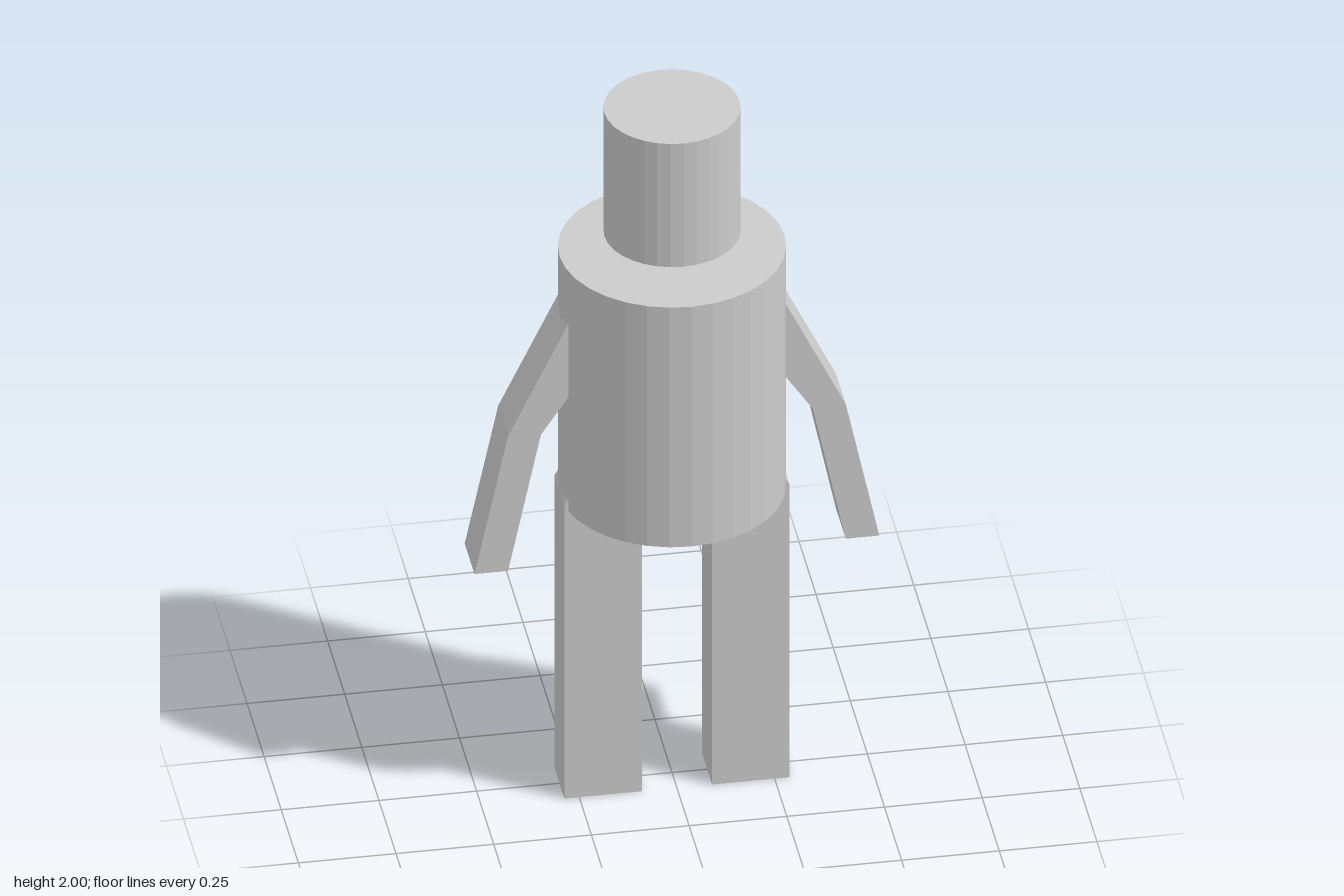
import * as THREE from 'three';

const material = new THREE.MeshStandardMaterial({ color: 0xcccccc, flatShading: true });

function addMesh(parent, name, geometry) {
  const mesh = new THREE.Mesh(geometry, material);
  mesh.name = name;
  parent.add(mesh);
  return mesh;
}

// upright 32-sided cylinder between two heights
function addDrum(parent, name, radius, bottom, top) {
  const drum = addMesh(parent, name, new THREE.CylinderGeometry(radius, radius, top - bottom, 32));
  drum.position.y = (bottom + top) / 2;
}

// flat bent limb: outline in x/y, extruded evenly about z = 0
function addLimb(parent, name, outline, side) {
  const points = outline.map(([x, y]) => new THREE.Vector2(side * x, y));
  const geometry = new THREE.ExtrudeGeometry(new THREE.Shape(points), { depth: 0.144, bevelEnabled: false });
  geometry.translate(0, 0, -0.072);
  addMesh(parent, name, geometry);
}

export function createModel() {
  const figure = new THREE.Group();
  figure.name = 'figure';

  // Head, neck and torso
  addDrum(figure, 'head', 0.173, 1.63, 2);
  addDrum(figure, 'neck', 0.056, 1.56, 1.65);
  addDrum(figure, 'torso', 0.288, 0.863, 1.583);

  // Arms bend at the elbow; legs bend at the hip and run up into the torso
  const arm = [[0.2, 1.32], [0.348, 1.1], [0.432, 0.7], [0.518, 0.7], [0.432, 1.105], [0.28, 1.42], [0.2, 1.5]];
  const leg = [[0.09, 0], [0.288, 0], [0.288, 0.88], [0.2, 1.04], [0, 1.04], [0, 0.9], [0.09, 0.743]];
  for (const [side, label] of [[1, 'left'], [-1, 'right']]) {
    addLimb(figure, label + 'Arm', arm, side);
    addLimb(figure, label + 'Leg', leg, side);
  }
  return figure;
}
